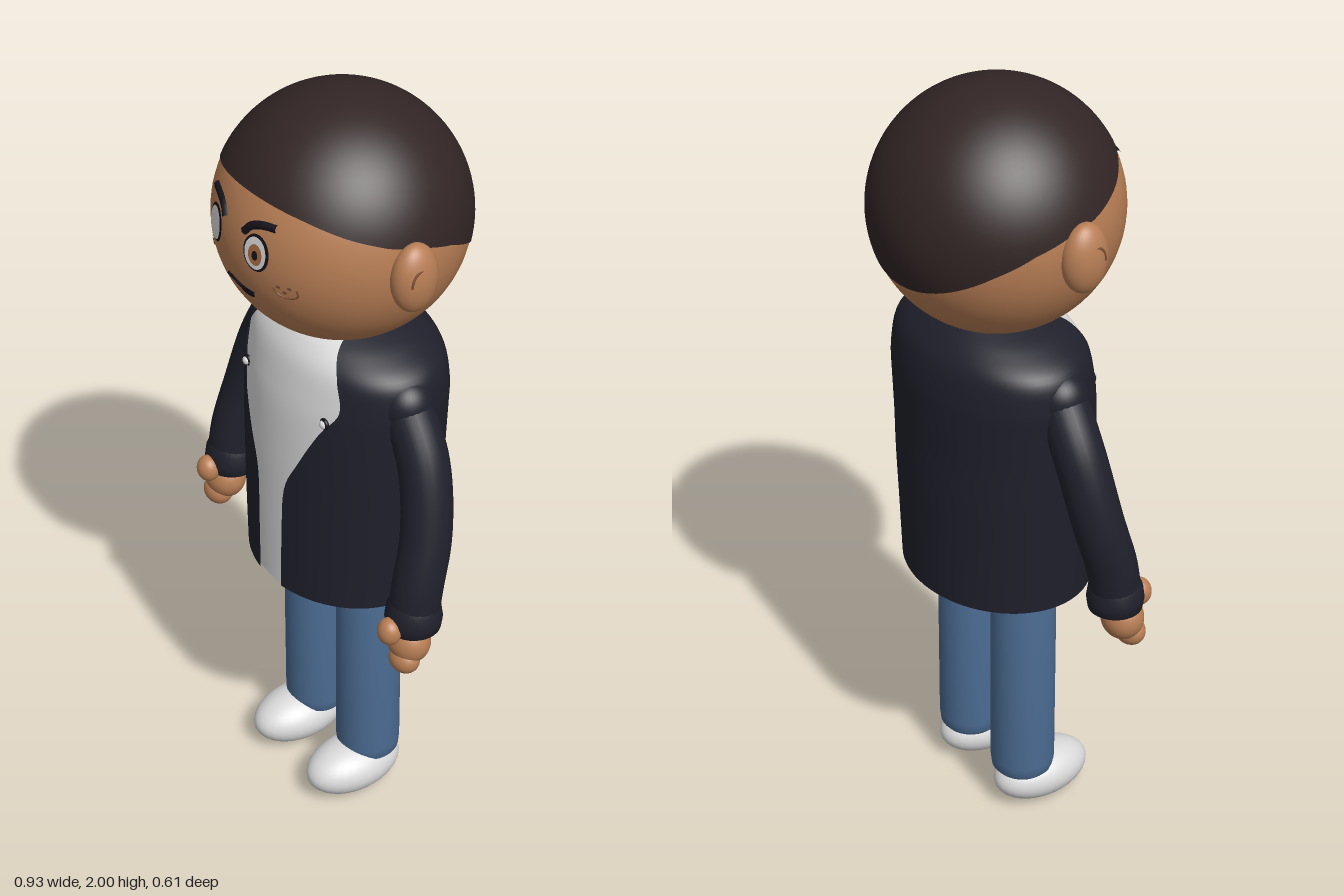
import * as THREE from 'three';
import { mergeVertices } from 'three/addons/utils/BufferGeometryUtils.js';

const material = (name, color, side = THREE.FrontSide) => {
  const m = new THREE.MeshStandardMaterial({ color, side });
  m.name = name;
  return m;
};

// Head ball
const HEAD_Y = 1.692, HEAD_R = 0.305;

// Torso rings from neck to hem: [y, half width, half depth, z offset, half width of the jacket opening]
const TORSO = [
  [1.43, 0.13, 0.13, -0.01, 0.11],
  [1.40, 0.215, 0.165, -0.012, 0.14],
  [1.355, 0.285, 0.195, -0.015, 0.175],
  [1.28, 0.30, 0.212, -0.014, 0.195],
  [1.21, 0.298, 0.218, -0.01, 0.155],
  [1.10, 0.293, 0.22, -0.006, 0.10],
  [1.00, 0.288, 0.222, -0.005, 0.056],
  [0.85, 0.279, 0.222, -0.002, 0.048],
  [0.695, 0.268, 0.222, 0, 0.045],
];

// Smooth surface from a grid; u runs round from the front towards +x, v runs downwards
function surface(nu, nv, point) {
  const pos = [], index = [];
  for (let j = 0; j <= nv; j++)
    for (let i = 0; i <= nu; i++) pos.push(...point(i / nu, j / nv));
  for (let j = 0; j < nv; j++)
    for (let i = 0; i < nu; i++) {
      const a = j * (nu + 1) + i, b = a + nu + 1;
      index.push(a, b, a + 1, b, b + 1, a + 1);
    }
  let g = new THREE.BufferGeometry();
  g.setAttribute('position', new THREE.Float32BufferAttribute(pos, 3));
  g.setIndex(index);
  g = mergeVertices(g, 1e-5);
  g.computeVertexNormals();
  return g;
}

// Point on the face at a given x, y
function onFace(x, y, lift) {
  const r = HEAD_R + lift, dy = y - HEAD_Y;
  return new THREE.Vector3(x, y, Math.sqrt(r * r - x * x - dy * dy));
}

// Thin oval lying on the face
function faceOval(x, y, rx, ry, lift) {
  const g = new THREE.CircleGeometry(1, 36), p = g.attributes.position;
  for (let i = 0; i < p.count; i++) {
    const v = onFace(x + p.getX(i) * rx, y + p.getY(i) * ry, lift);
    p.setXYZ(i, v.x, v.y, v.z);
  }
  g.computeVertexNormals();
  return g;
}

// Drawn stroke lying on the face
function faceStroke(points, radius, lift = 0) {
  const curve = new THREE.CatmullRomCurve3(points.map(([x, y]) => onFace(x, y, lift)));
  return new THREE.TubeGeometry(curve, 24, radius, 8);
}

export function createModel() {
  const model = new THREE.Group();
  const skin = material('skin', 0xb87e55);
  const freckle = material('dark skin', 0x7d5035);
  const hair = material('hair', 0x322525);
  const navy = material('jacket navy', 0x20202c, THREE.DoubleSide);
  const white = material('white', 0xdadada);
  const denim = material('denim', 0x4a6a90);
  const ink = material('ink', 0x15121a);
  const iris = material('iris', 0xa66c40);

  const add = (name, geometry, mat, x = 0, y = 0, z = 0) => {
    const m = new THREE.Mesh(geometry, mat);
    m.name = name;
    m.position.set(x, y, z);
    model.add(m);
    return m;
  };
  const ball = (name, mat, x, y, z, rx, ry, rz) => {
    const m = add(name, new THREE.SphereGeometry(1, 32, 24), mat, x, y, z);
    m.scale.set(rx, ry, rz);
    return m;
  };

  // Head and hair; the hairline falls from the forehead to the nape
  add('head', new THREE.SphereGeometry(HEAD_R, 64, 48), skin, 0, HEAD_Y, 0);
  const hairline = [[-1, 1.57], [-0.59, 1.66], [-0.32, 1.707], [-0.06, 1.735],
    [0.23, 1.757], [0.54, 1.79], [0.8, 1.822], [1, 1.843]];
  const hairlineY = (c) => {
    const k = Math.max(1, hairline.findIndex(([x]) => x >= c - 1e-9));
    const [x0, y0] = hairline[k - 1], [x1, y1] = hairline[k];
    return y0 + (y1 - y0) * (c - x0) / (x1 - x0);
  };
  const hairR = 0.308;
  add('hair', surface(96, 28, (u, v) => {
    const a = u * Math.PI * 2;
    const t = v * Math.acos((hairlineY(Math.cos(a)) - HEAD_Y) / hairR);
    return [hairR * Math.sin(t) * Math.sin(a), HEAD_Y + hairR * Math.cos(t), hairR * Math.sin(t) * Math.cos(a)];
  }), hair);
  add('neck', new THREE.CylinderGeometry(0.1, 0.11, 0.1, 32), skin, 0, 1.4, -0.01);

  // Face
  for (const x of [-0.082, 0.08]) {
    add('eyeOutline', faceOval(x, 1.72, 0.036, 0.047, 0.003), ink);
    add('eye', faceOval(x, 1.72, 0.03, 0.041, 0.005), white);
  }
  add('iris', faceOval(0.083, 1.718, 0.019, 0.027, 0.007), iris);
  add('pupil', faceOval(0.085, 1.718, 0.008, 0.012, 0.009), ink);
  add('mouthLine', faceStroke([[-0.037, 1.607], [-0.015, 1.605], [0.015, 1.597], [0.058, 1.594]], 0.005), ink);
  add('mouthCorner', faceOval(0.037, 1.592, 0.023, 0.011, 0.004), ink);

  // Torso
  const size = new THREE.CatmullRomCurve3(TORSO.map(([y, rx, rz]) => new THREE.Vector3(rx, y, rz)), false, 'catmullrom');
  const extra = new THREE.CatmullRomCurve3(TORSO.map(([, , , cz, w]) => new THREE.Vector3(cz, w, 0)), false, 'catmullrom');
  const torso = (scale, open) => surface(72, 48, (u, v) => {
    const s = size.getPoint(v), e = extra.getPoint(v);
    const gap = open ? Math.asin(Math.min(0.95, e.y / s.x)) : 0;
    const a = gap + u * (Math.PI * 2 - 2 * gap);
    return [s.x * scale * Math.sin(a), s.y, s.z * scale * Math.cos(a) + e.x];
  });
  add('jacketBody', torso(1, true), navy);
  add('shirt', torso(0.972, false), white);
  const hem = add('shirtUnderside', new THREE.CircleGeometry(1, 48), white, 0, 0.7, 0);
  hem.rotation.x = Math.PI / 2;
  hem.scale.set(0.26, 0.215, 1);

  // Mirrored parts
  for (const s of [-1, 1]) {
    const side = s > 0 ? 'left' : 'right';

    ball(side + 'Ear', skin, s * 0.31, 1.675, 0.022, 0.044, 0.088, 0.06);
    const fold = add(side + 'EarFold', new THREE.TorusGeometry(0.024, 0.003, 6, 20, Math.PI), freckle, s * 0.347, 1.675, 0.03);
    fold.rotation.y = Math.PI / 2;
    fold.scale.y = 1.5;

    add(side + 'Brow', faceStroke([[0.037, 1.757], [0.055, 1.777], [0.085, 1.788], [0.12, 1.79]]
      .map(([x, y]) => [s * x, y]), 0.0105, -0.002), ink);
    const cheek = [0, 1, 2, 3, 4].map((i) => {
      const a = Math.PI * (0.95 + i * 0.3);
      return [s * 0.148 + 0.028 * Math.cos(a), 1.642 + 0.02 * Math.sin(a)];
    });
    add(side + 'CheekMark', faceStroke(cheek, 0.0025), freckle);
    for (const [x, y] of [[0.135, 1.65], [0.16, 1.652], [0.148, 1.638]])
      add(side + 'Freckle', faceOval(s * x, y, 0.005, 0.004, 0.002), freckle);

    // Shirt stud with a dark rim
    ball(side + 'StudRim', ink, s * 0.162, 1.24, 0.166, 0.015, 0.015, 0.008);
    ball(side + 'Stud', white, s * 0.162, 1.24, 0.17, 0.011, 0.011, 0.009);

    // Sleeve, shoulder and cuff
    const arm = new THREE.CatmullRomCurve3([[0.255, 1.292, 0], [0.333, 1.16, 0.002], [0.38, 0.99, 0.025],
      [0.395, 0.86, 0.058], [0.396, 0.77, 0.072]].map(([x, y, z]) => new THREE.Vector3(s * x, y, z)));
    add(side + 'Sleeve', new THREE.TubeGeometry(arm, 32, 0.063, 24), navy);
    ball(side + 'Shoulder', navy, s * 0.257, 1.292, 0, 0.067, 0.067, 0.068);
    const cuff = [[0, 0], [0.055, 0], [0.067, 0.008], [0.071, 0.035], [0.067, 0.065], [0.058, 0.085]];
    add(side + 'Cuff', new THREE.LatheGeometry(cuff.map(([x, y]) => new THREE.Vector2(x, y)), 32), navy, s * 0.396, 0.735, 0.07);

    // Hand
    ball(side + 'Palm', skin, s * 0.403, 0.705, 0.088, 0.057, 0.058, 0.052);
    ball(side + 'Fingers', skin, s * 0.411, 0.662, 0.107, 0.043, 0.038, 0.036);
    ball(side + 'Thumb', skin, s * 0.398, 0.755, 0.143, 0.032, 0.036, 0.03);

    // Leg with a rounded cuff, and shoe
    const leg = [[0, 0.1], [0.07, 0.1], [0.08, 0.112], [0.083, 0.14], [0.083, 0.8], [0, 0.8]];
    add(side + 'Leg', new THREE.LatheGeometry(leg.map(([x, y]) => new THREE.Vector2(x, y)), 32), denim, s * 0.116, 0, 0);
    ball(side + 'Shoe', white, s * 0.123, 0.071, 0.053, 0.086, 0.071, 0.137);
  }
  return model;
}
